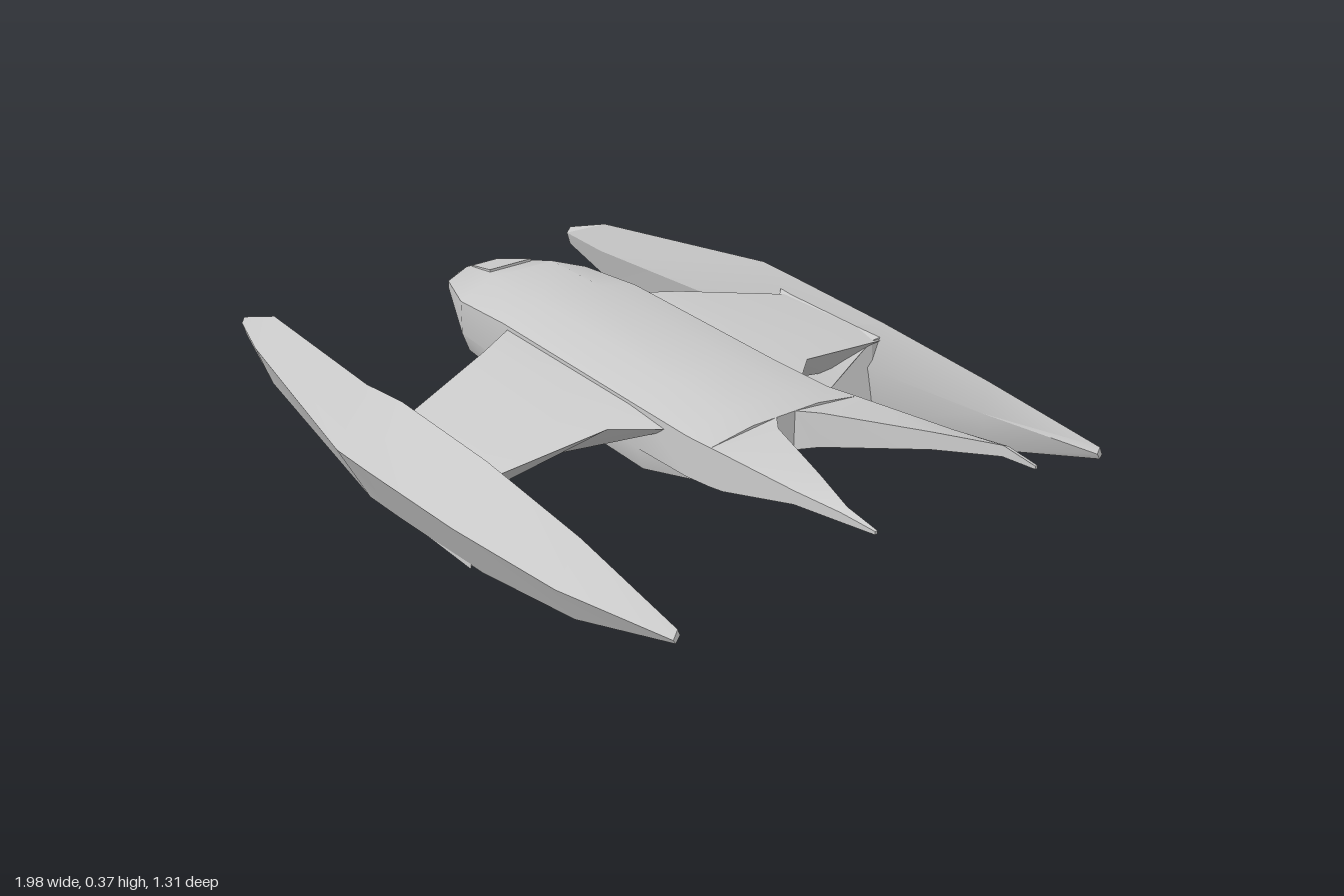
import * as THREE from 'three';
import { toCreasedNormals } from 'three/addons/utils/BufferGeometryUtils.js';

const material = new THREE.MeshStandardMaterial({ color: 0xcccccc });

// Skins a list of equal-length rings of [x, y, z] points and caps both ends.
function loft(name, rings, crease = 0.45) {
  const tris = [];
  const n = rings[0].length;
  for (let i = 0; i < rings.length - 1; i++) {
    for (let j = 0; j < n; j++) {
      const k = (j + 1) % n;
      const [a, b, c, d] = [rings[i][j], rings[i][k], rings[i + 1][k], rings[i + 1][j]];
      tris.push([a, b, c], [a, c, d]);
    }
  }
  const last = rings[rings.length - 1];
  for (let j = 1; j < n - 1; j++) {
    tris.push([rings[0][0], rings[0][j + 1], rings[0][j]]);
    tris.push([last[0], last[j], last[j + 1]]);
  }
  // Signed volume tells whether the faces point outwards.
  let volume = 0;
  for (const [a, b, c] of tris) {
    volume += new THREE.Vector3(...a).dot(new THREE.Vector3(...b).cross(new THREE.Vector3(...c)));
  }
  if (volume < 0) tris.forEach((t) => t.reverse());
  const geometry = new THREE.BufferGeometry();
  geometry.setAttribute('position', new THREE.Float32BufferAttribute(tris.flat(2), 3));
  const mesh = new THREE.Mesh(toCreasedNormals(geometry, crease), material);
  mesh.name = name;
  return mesh;
}

// Long pod: diamond sections [x, top y, z, outer y, z, bottom y, z, inner y, z].
function pod(s) {
  const sections = [
    [-0.985, 0.165, 0.502, 0.15, 0.51, 0.115, 0.5, 0.15, 0.49],
    [-0.82, 0.225, 0.5, 0.155, 0.558, 0.05, 0.52, 0.15, 0.485],
    [-0.25, 0.285, 0.572, 0.15, 0.657, 0.005, 0.582, 0.15, 0.545],
    [-0.12, 0.29, 0.56, 0.15, 0.654, 0.008, 0.58, 0.15, 0.535],
    [0.2, 0.282, 0.556, 0.155, 0.645, 0.025, 0.577, 0.16, 0.54],
    [0.53, 0.258, 0.56, 0.165, 0.622, 0.08, 0.577, 0.18, 0.55],
    [0.845, 0.22, 0.573, 0.2, 0.583, 0.19, 0.577, 0.205, 0.567],
  ];
  return loft('pod', sections.map(([x, ...p]) =>
    [0, 2, 4, 6].map((i) => [x, p[i], s * p[i + 1]])));
}

// Wing: blunt leading edge, flat top, underside sweeping up to the trailing edge.
function wing(s) {
  const sections = [
    [0.17, [[-0.335, 0.22], [-0.29, 0.292], [0.2, 0.295], [0.335, 0.288], [0.08, 0.15], [-0.28, 0.15]]],
    [0.28, [[-0.275, 0.22], [-0.225, 0.29], [0.15, 0.29], [0.24, 0.283], [0.06, 0.15], [-0.23, 0.15]]],
    [0.56, [[-0.17, 0.18], [-0.13, 0.24], [0.12, 0.242], [0.195, 0.235], [0.05, 0.1], [-0.14, 0.105]]],
  ];
  return loft('wing', sections.map(([z, ring]) => ring.map(([x, y]) => [x, y, s * z])));
}

// Angular mount joining wing and pod.
function podMount(s) {
  const section = [[0.24, 0.53], [0.17, 0.505], [0.06, 0.485], [0.015, 0.58], [0.25, 0.575]];
  const front = [-0.14, -0.18, -0.13, -0.19, -0.18];
  const rear = [0.19, 0.15, 0.08, 0.16, 0.2];
  return loft('podMount', [front, rear].map((xs) =>
    section.map(([y, z], i) => [xs[i], y, s * z])), 0.2);
}

// Fork prong at the tail: [x, inner z, outer z, inner bottom y, outer bottom y, inner top y, outer top y].
function prong(s) {
  const sections = [
    [0.4, 0.0, 0.193, 0.2, 0.21, 0.327, 0.305],
    [0.485, 0.025, 0.198, 0.24, 0.225, 0.332, 0.315],
    [0.53, 0.058, 0.2, 0.255, 0.235, 0.335, 0.32],
    [0.76, 0.148, 0.212, 0.32, 0.315, 0.36, 0.345],
    [0.9, 0.204, 0.22, 0.347, 0.345, 0.372, 0.365],
    [0.985, 0.206, 0.212, 0.355, 0.355, 0.362, 0.362],
  ];
  return loft('tailProng', sections.map(([x, zi, zo, bi, bo, ti, to]) =>
    [[x, bi, s * zi], [x, bo, s * zo], [x, to, s * zo], [x, ti, s * zi]]));
}

// Fuselage: [x, half width, top y, shoulder y, lower side y, bottom y, bottom half width].
function fuselage() {
  const sections = [
    [-0.73, 0.045, 0.255, 0.25, 0.24, 0.235, 0.035],
    [-0.695, 0.1, 0.275, 0.25, 0.23, 0.205, 0.06],
    [-0.5, 0.182, 0.325, 0.285, 0.2, 0.13, 0.09],
    [-0.3, 0.19, 0.326, 0.302, 0.2, 0.117, 0.09],
    [0.22, 0.19, 0.326, 0.302, 0.2, 0.117, 0.09],
    [0.4, 0.193, 0.327, 0.305, 0.21, 0.19, 0.075],
    [0.485, 0.197, 0.332, 0.315, 0.238, 0.235, 0.06],
  ];
  return loft('fuselage', sections.map(([x, w, top, edge, low, bottom, bw]) => {
    const half = [[top, w * 0.45], [edge, w], [low, w], [low * 0.3 + bottom * 0.7, w * 0.9], [bottom, bw]];
    const left = half.map(([y, z]) => [x, y, z]);
    return [...left, ...left.map(([px, y, z]) => [px, y, -z]).reverse()];
  }));
}

export function createModel() {
  const model = new THREE.Group();
  model.name = 'spacecraft';

  const body = new THREE.Group();
  body.name = 'body';
  body.position.z = -0.011;
  body.add(fuselage(), prong(1), prong(-1));

  // Small raised hatch on the nose.
  body.add(loft('hatch', [[-0.68, 0.282, 0.038], [-0.56, 0.316, 0.06]].map(([x, y, w]) =>
    [[x, y, w], [x, y, -w], [x, y - 0.03, -w], [x, y - 0.03, w]]), 0.2));

  // Outriggers sit very slightly turned against the body.
  const outriggers = new THREE.Group();
  outriggers.name = 'outriggers';
  outriggers.rotation.y = 0.02;
  outriggers.position.z = -0.003;
  for (const s of [1, -1]) outriggers.add(pod(s), wing(s), podMount(s));

  model.add(body, outriggers);
  return model;
}
